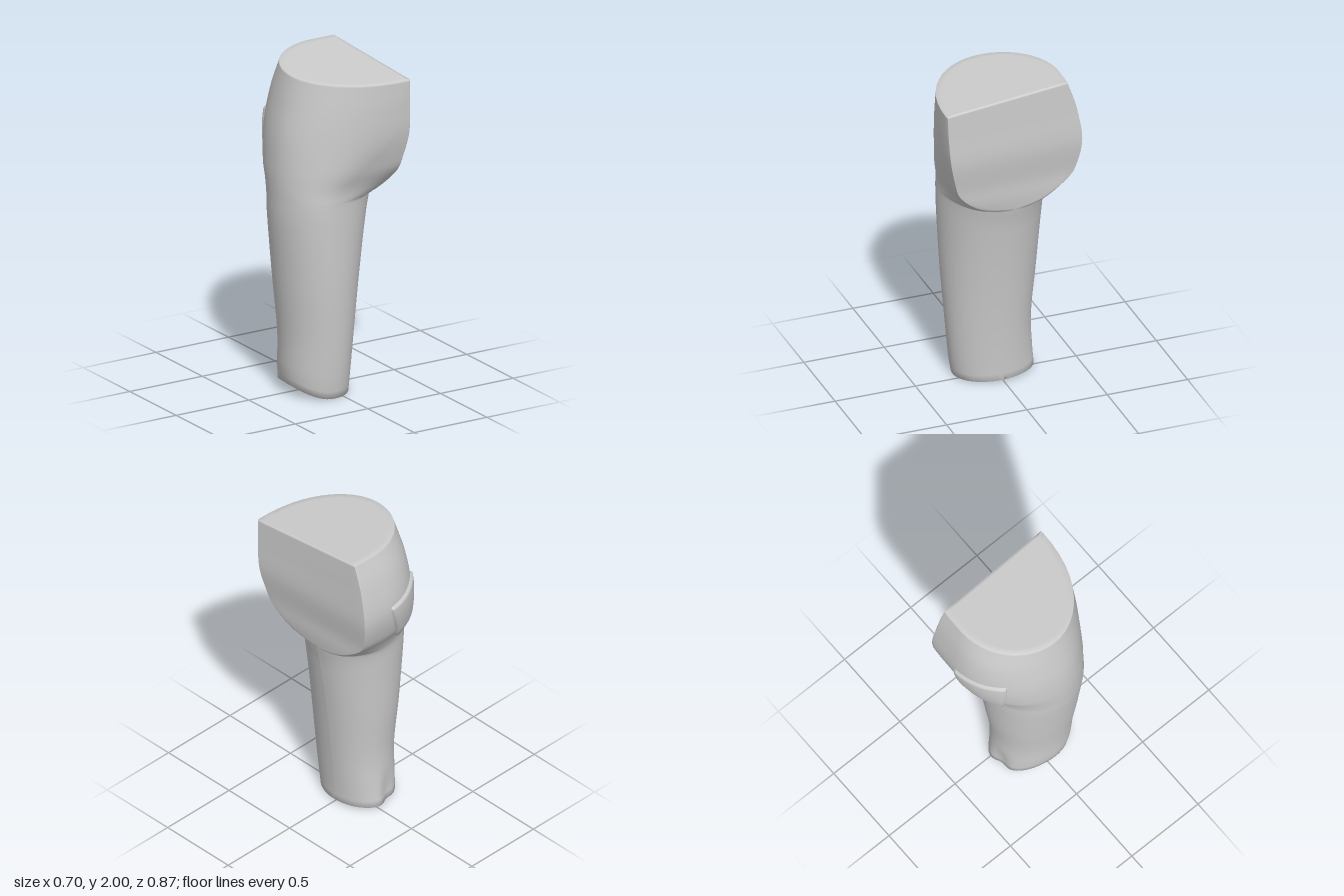
import * as THREE from 'three';

// Cross-sections: y, outer x, inner x, front peak x/z, back peak x/z
const SECTIONS = [
  [0.0, -0.262, 0.13, -0.06, 0.245, -0.04, -0.245],
  [0.1, -0.272, 0.135, -0.06, 0.26, -0.04, -0.235],
  [0.35, -0.278, 0.155, -0.06, 0.283, -0.04, -0.222],
  [0.7, -0.31, 0.195, -0.08, 0.306, -0.04, -0.25],
  [1.1, -0.345, 0.255, -0.1, 0.32, -0.02, -0.275],
  [1.21, -0.348, 0.28, -0.1, 0.322, 0.0, -0.285],
  [1.3, -0.35, 0.293, -0.07, 0.328, 0.04, -0.325],
  [1.4, -0.348, 0.298, 0.02, 0.36, 0.06, -0.385],
  [1.6, -0.33, 0.324, 0.2, 0.41, 0.1, -0.427],
  [1.8, -0.29, 0.32, 0.25, 0.427, 0.1, -0.395],
  [1.974, -0.25, 0.315, 0.28, 0.432, 0.15, -0.335],
];
const MID_Z = 0.04;

// Smooth interpolation between the cross-sections
function sectionAt(y) {
  const S = SECTIONS, n = S.length - 1;
  let i = 0;
  while (i < n - 1 && y > S[i + 1][0]) i++;
  const h = S[i + 1][0] - S[i][0], t = (y - S[i][0]) / h;
  const slope = (k, c) => {
    const a = S[Math.max(k - 1, 0)], b = S[Math.min(k + 1, n)];
    return (b[c] - a[c]) / (b[0] - a[0]);
  };
  const t2 = t * t, t3 = t2 * t;
  return S[i].map((v, c) => c === 0 ? y
    : (2 * t3 - 3 * t2 + 1) * v + (t3 - 2 * t2 + t) * h * slope(i, c)
    + (3 * t2 - 2 * t3) * S[i + 1][c] + (t3 - t2) * h * slope(i + 1, c));
}

// Surface point; u runs 0..5: outer-front, front, flat centre cut, back, back-outer
function surface(y, u) {
  const [, xl, xr, xf, zf, xb, zb] = sectionAt(y);
  const k = y < 1.22 ? 0 : y > 1.42 ? 1 : Math.sqrt(1 - ((1.42 - y) / 0.2) ** 2);
  const cutF = zf * 0.99 * k, cutB = zb * 0.985 * k;
  const part = Math.min(Math.floor(u), 4), f = u - part;
  const s = Math.sin(f * Math.PI / 2), c = Math.cos(f * Math.PI / 2);
  let x, z;
  if (part === 0) { x = xf + (xl - xf) * c; z = MID_Z + (zf - MID_Z) * s; }
  else if (part === 1) { x = xf + (xr - xf) * s; z = cutF + (zf - cutF) * c; }
  else if (part === 2) { x = xr; z = cutF + (cutB - cutF) * f; }
  else if (part === 3) { x = xb + (xr - xb) * c; z = cutB + (zb - cutB) * s; }
  else { x = xb + (xl - xb) * s; z = MID_Z + (zb - MID_Z) * c; }
  // The centre cut leans slightly inward toward the back
  const side = THREE.MathUtils.smoothstep(x, 0, 0.3) * k;
  x += side * 0.05 * z;
  // Fold above the back of the hem
  if (z < 0) z += 0.03 * Math.exp(-(((x + 0.08) / 0.05) ** 2)) * THREE.MathUtils.smoothstep(0.3 - y, 0, 0.3);
  // Waist rises to the back, hem lifts on the outside
  const hem = 1 - THREE.MathUtils.smoothstep(y, 0, 0.3);
  const lift = 0.012 - 0.04 * z + 0.06 * THREE.MathUtils.clamp((-x - 0.08) / 0.18, 0, 1) ** 2;
  const py = y - 0.079 * z * THREE.MathUtils.smoothstep(y, 1.6, 1.974) + hem * lift;
  return new THREE.Vector3(x, py, z);
}

function meshFrom(name, points, index, material) {
  const g = new THREE.BufferGeometry().setFromPoints(points);
  g.setIndex(index);
  g.computeVertexNormals();
  const m = new THREE.Mesh(g, material);
  m.name = name;
  return m;
}

// Closed shell of the trouser leg with flat waist, hem and centre cut
function trouserLeg(material) {
  const levels = [];
  for (let i = 0; i < 28; i++) levels.push(i * 1.18 / 27);
  levels.push(1.205, 1.219, 1.222, 1.23, 1.243, 1.26);
  for (let i = 0; i < 23; i++) levels.push(1.28 + i * 0.03);
  levels.push(1.962, 1.974);
  const us = [];
  for (let p = 0; p < 5; p++) for (let i = 0; i < 12; i++) us.push(p + i / 12);
  const n = us.length, points = [], index = [];
  levels.forEach(y => us.forEach(u => points.push(surface(y, u))));
  const bridge = (a, b) => {
    for (let j = 0; j < n; j++) {
      const k = (j + 1) % n;
      index.push(a + j, a + k, b + j, a + k, b + k, b + j);
    }
  };
  for (let i = 0; i < levels.length - 1; i++) bridge(i * n, (i + 1) * n);
  // End caps: an inset ring, then a fan
  const cap = (start, top) => {
    const ring = points.slice(start, start + n);
    const centre = ring.reduce((s, p) => s.add(p), new THREE.Vector3()).divideScalar(n);
    const inner = points.length;
    ring.forEach(p => points.push(p.clone().lerp(centre, 0.1)));
    const mid = points.push(centre) - 1;
    if (top) bridge(start, inner); else bridge(inner, start);
    for (let j = 0; j < n; j++) {
      const a = inner + j, b = inner + (j + 1) % n;
      if (top) index.push(mid, a, b); else index.push(mid, b, a);
    }
  };
  cap((levels.length - 1) * n, true);
  cap(0, false);
  return meshFrom('trouserLeg', points, index, material);
}

// Patch pocket following the seat, raised slightly and sunk at its border
function backPocket(material) {
  const N = 20, points = [], index = [];
  for (let r = 0; r <= N; r++) for (let c = 0; c <= N; c++) {
    const edge = r === 0 || c === 0 || r === N || c === N;
    const v = THREE.MathUtils.clamp((r - 0.5) / (N - 1), 0, 1);
    const w = THREE.MathUtils.clamp((c - 0.5) / (N - 1), 0, 1);
    const u = THREE.MathUtils.lerp(4.0 + 0.08 * v, 4.52 - 0.12 * v * v, w);
    const yTop = 1.635 + 0.03 * w, yBottom = 1.285 + 0.08 * Math.abs(2 * w - 1) ** 3;
    const y = THREE.MathUtils.lerp(yTop, yBottom, v);
    const p = surface(y, u);
    const du = surface(y, u + 0.01).sub(surface(y, u - 0.01));
    const dy = surface(y + 0.005, u).sub(surface(y - 0.005, u));
    points.push(p.addScaledVector(du.cross(dy).normalize(), edge ? -0.006 : 0.015));
  }
  for (let r = 0; r < N; r++) for (let c = 0; c < N; c++) {
    const a = r * (N + 1) + c, b = a + N + 1;
    index.push(a, b, a + 1, a + 1, b, b + 1);
  }
  return meshFrom('backPocket', points, index, material);
}

export function createModel() {
  const group = new THREE.Group();
  group.name = 'halfTrousers';
  const material = new THREE.MeshStandardMaterial({ color: 0xcccccc, side: THREE.DoubleSide });
  group.add(trouserLeg(material), backPocket(material));
  return group;
}
